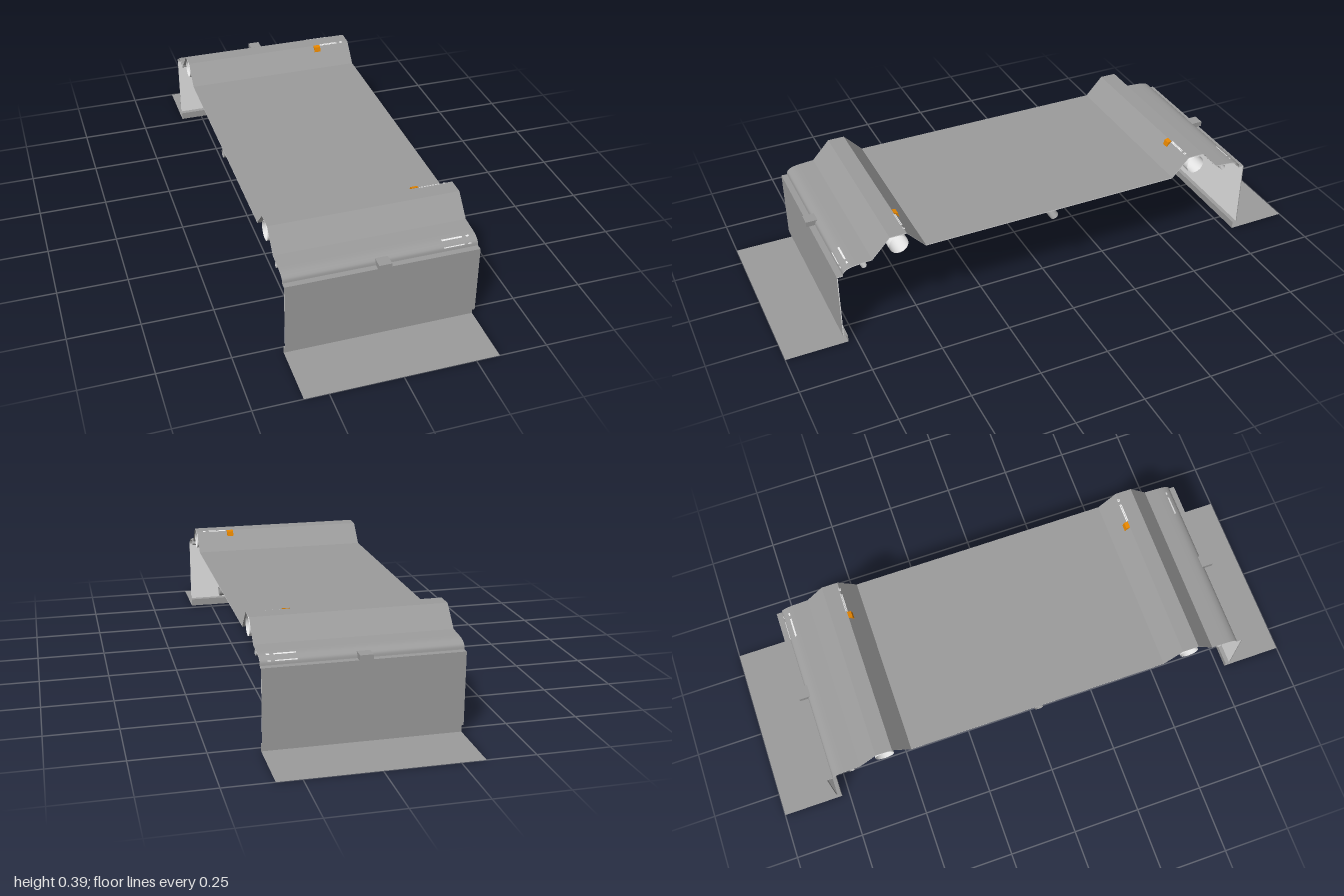
import * as THREE from 'three';

const W = 0.333; // half width of the whole model

export function createModel() {
  const model = new THREE.Group();
  const mat = (name, color) => {
    const m = new THREE.MeshStandardMaterial({ color, side: THREE.DoubleSide });
    m.name = name;
    return m;
  };
  const grey = mat('sheet grey', 0x9c9c9c);
  const lining = mat('lining grey', 0xb6b6b6);
  const light = mat('light grey', 0xe6e6e6);
  const white = mat('slot white', 0xffffff);
  const orange = mat('strap orange', 0xf08c00);

  const add = (name, geometry, material, x = 0, y = 0, z = 0) => {
    const mesh = new THREE.Mesh(geometry, material);
    mesh.name = name;
    mesh.position.set(x, y, z);
    model.add(mesh);
  };

  // Thin surface swept across x; points are [z, y], smooth along the profile
  const sweep = (points, s, x0 = -W, x1 = W) => {
    const list = s > 0 ? points : [...points].reverse();
    const pos = [], idx = [];
    list.forEach(([z, y], i) => {
      pos.push(x0, y, z * s, x1, y, z * s);
      if (i) {
        const a = 2 * i - 2;
        idx.push(a, a + 1, a + 3, a, a + 3, a + 2);
      }
    });
    const g = new THREE.BufferGeometry();
    g.setAttribute('position', new THREE.Float32BufferAttribute(pos, 3));
    g.setIndex(idx);
    g.computeVertexNormals();
    return g;
  };

  // Smooth profile through a few points
  const smooth = (points, n) => new THREE.SplineCurve(points.map(p => new THREE.Vector2(...p)))
    .getPoints(n).map(p => [p.x, p.y]);

  const openTube = (radius, sides) =>
    new THREE.CylinderGeometry(radius, radius, 2 * W, sides, 1, true).rotateZ(Math.PI / 2);

  // Sheet with a paler lining just beneath it
  const linedSheet = (name, points, s) => {
    add(name, sweep(points, s), grey);
    add(name + 'Lining', sweep(points, s), lining, 0, -0.003, 0);
  };

  const shoulder = smooth([[0.774, 0.284], [0.77, 0.298], [0.755, 0.308], [0.73, 0.3135], [0.67, 0.318]], 20);

  // Deck between the two ridges
  linedSheet('deck', [[0.48, 0.318], [-0.48, 0.318]], 1);

  for (const s of [1, -1]) {
    // Foot and end panel
    add('footFlange', sweep([[1, 0], [0.778, 0]], s), grey);
    add('footLip', sweep([[0.778, 0], [0.778, 0.028]], s), grey);
    add('footFold', sweep([[0.795, 0.03], [0.778, 0.028]], s), grey);
    add('endPanel', sweep([[0.795, 0.03], [0.795, 0.284]], s), grey);
    add('panelLining', sweep([[0.792, 0.03], [0.792, 0.282]], s), light);

    // Ledge, shoulder and ridge up to the deck
    linedSheet('ledge', [[0.795, 0.284], [0.774, 0.284]], s);
    linedSheet('shoulder', shoulder, s);
    linedSheet('ridgeOuterSlope', [[0.67, 0.318], [0.605, 0.388]], s);
    linedSheet('ridgeTop', [[0.605, 0.388], [0.545, 0.388]], s);
    linedSheet('ridgeInnerSlope', [[0.545, 0.388], [0.48, 0.318]], s);

    // Open rollers under the ridge and the shoulder
    add('roller', openTube(0.034, 32), light, 0, 0.35, 0.575 * s);
    add('smallRoller', openTube(0.01, 16), lining, 0, 0.303, 0.7 * s);

    // Curved strap holding the roller, its tip passing through the sheet
    const outer = smooth([[0.642, 0.338], [0.615, 0.319], [0.58, 0.304], [0.546, 0.313], [0.524, 0.345], [0.531, 0.386]], 24);
    const inner = smooth([[0.636, 0.35], [0.61, 0.333], [0.58, 0.318], [0.555, 0.325], [0.538, 0.347], [0.545, 0.389]], 24);
    const strapShape = new THREE.Shape([...outer, ...inner.reverse()].map(([z, y]) => new THREE.Vector2(-z * s, y)));
    const strap = new THREE.ExtrudeGeometry(strapShape, { depth: 0.025, bevelEnabled: false });
    add('strap', strap.rotateY(Math.PI / 2), orange, 0.186, 0, 0);

    // Narrow slots in the sheet beside the strap
    for (const [x0, x1] of [[0.213, 0.285], [0.298, 0.309]]) {
      add('ridgeSlot', sweep([[0.549, 0.389], [0.541, 0.3865]], s, x0, x1), white);
      add('shoulderSlot', sweep([[0.752, 0.3108], [0.746, 0.313]], s, x0, x1), white);
      add('lowerSlot', sweep([[0.7735, 0.2965], [0.7715, 0.2995]], s, x0, x1), white);
    }

    // Flat patches on the underside of the deck
    for (const side of [1, -1]) {
      const x0 = 0.17 * side;
      add('undersidePatch', sweep([[0.27, 0.313], [0.07, 0.313]], s, x0 - 0.095, x0 + 0.095), grey);
      add('undersideStrip', sweep([[0.375, 0.313], [0.305, 0.313]], s, x0 - 0.08, x0 + 0.07), grey);
    }
  }

  // Open tube across the middle of the deck
  add('crossTube', openTube(0.016, 20), grey, 0, 0.296, 0);

  // Lengthwise rail, cranked down in the middle to pass under the cross tube
  const half = [[0.375, 0.276], [0.397, 0.304], [0.805, 0.304], [0.805, 0.285], [0.404, 0.285], [0.382, 0.267]];
  const rail = new THREE.Shape([
    ...half.map(([z, y]) => new THREE.Vector2(z, y)),
    ...[...half].reverse().map(([z, y]) => new THREE.Vector2(-z, y)),
  ]);
  const railGeometry = new THREE.ExtrudeGeometry(rail, { depth: 0.044, bevelEnabled: false });
  add('centreRail', railGeometry.rotateY(Math.PI / 2), grey, -0.022, 0, 0);

  return model;
}
